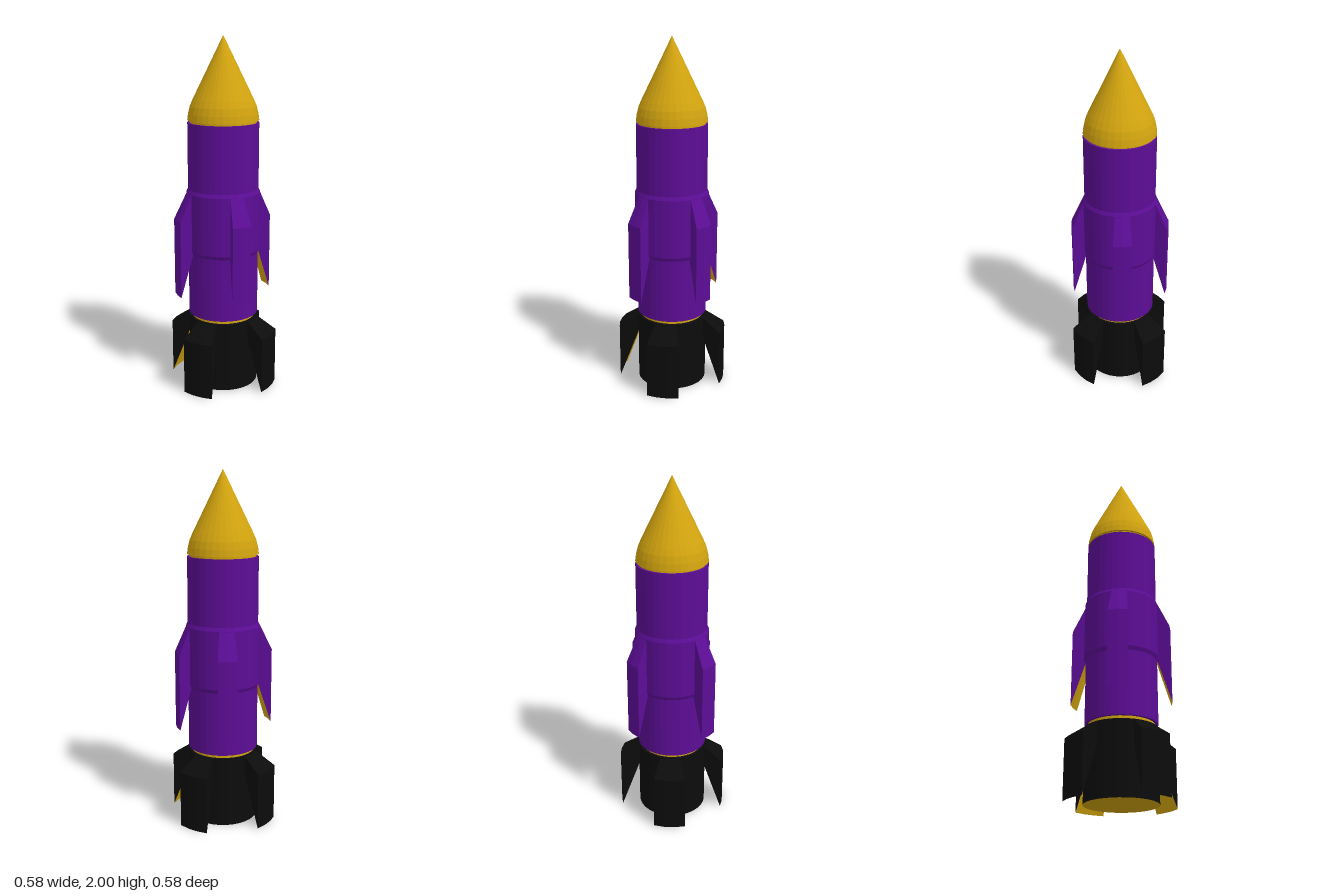
import * as THREE from 'three';

const SIDES = 32;
const rad = THREE.MathUtils.degToRad;

export function createModel() {
  const root = new THREE.Group();
  const mat = (color, side = THREE.FrontSide) =>
    new THREE.MeshStandardMaterial({ color, flatShading: true, side });
  const gold = mat(0xd4a50f);
  const purple = mat(0x5c0d96), purpleThin = mat(0x5c0d96, THREE.DoubleSide);
  const black = mat(0x0c0c0c), blackThin = mat(0x0c0c0c, THREE.DoubleSide);

  const points = (list) => list.map(([r, y]) => new THREE.Vector2(r, y));
  const add = (parent, name, geometry, material) => {
    const mesh = new THREE.Mesh(geometry, material);
    mesh.name = name;
    parent.add(mesh);
    return mesh;
  };
  // Full turned part, profile listed from bottom to top
  const turned = (name, profile, material) =>
    add(root, name, new THREE.LatheGeometry(points(profile), SIDES), material);

  // Hull sections
  turned('engineBottom', [[0, 0], [0.2, 0]], gold);
  turned('engineHousing', [[0.2, 0], [0.2, 0.405], [0.183, 0.405]], black);
  turned('lowerBand', [[0.183, 0.4], [0.183, 0.43]], gold);
  turned('body', [
    [0.183, 0.425], [0.2, 0.425], [0.2, 0.79], [0.21, 0.81],
    [0.21, 1.14], [0.2, 1.16], [0.2, 1.53], [0.187, 1.53],
  ], purple);
  turned('upperBand', [[0.187, 1.525], [0.187, 1.55]], gold);
  turned('noseCone', [
    [0.187, 1.543], [0.2, 1.543], [0.195, 1.58], [0.185, 1.62],
    [0.17, 1.655], [0, 2],
  ], gold);

  // Wedge fin swept round the hull between two angles (0 = +x, 90 = +z)
  function fin(name, start, steps, p, material, thinMaterial) {
    const sweep = steps * 360 / SIDES;
    const group = new THREE.Group();
    group.name = name;
    const arc = (list) => new THREE.LatheGeometry(
      points(list), steps, rad(90 - start - sweep), rad(sweep));
    const base = [p.inner, p.baseLow], tip = [p.outer, p.tip];
    const shoulder = [p.outer, p.shoulder], top = [p.inner, p.baseHigh];
    add(group, 'finOuter', arc([tip, shoulder, top]), material);
    add(group, 'finUnderside', arc([base, tip]), gold);
    for (const angle of [start, start + sweep]) {
      const cap = new THREE.ShapeGeometry(
        new THREE.Shape(points([base, tip, shoulder, top])));
      add(group, 'finSide', cap, thinMaterial).rotation.y = -rad(angle);
    }
    root.add(group);
  }

  // Four wide engine fins
  for (let i = 0; i < 4; i++) {
    fin('engineFin', 22.5 + i * 90, 3,
      { inner: 0.199, outer: 0.313, tip: 0, baseLow: 0.29, shoulder: 0.325, baseHigh: 0.402 },
      black, blackThin);
  }

  // Four narrow body fins, slightly uneven in placing
  for (const [start, outer] of [[67.5, 0.279], [157.5, 0.283], [258.75, 0.28], [337.5, 0.275]]) {
    fin('bodyFin', start, 2,
      { inner: 0.2, outer, tip: 0.55, baseLow: 0.8, shoulder: 0.99, baseHigh: 1.16 },
      purple, purpleThin);
  }

  return root;
}
